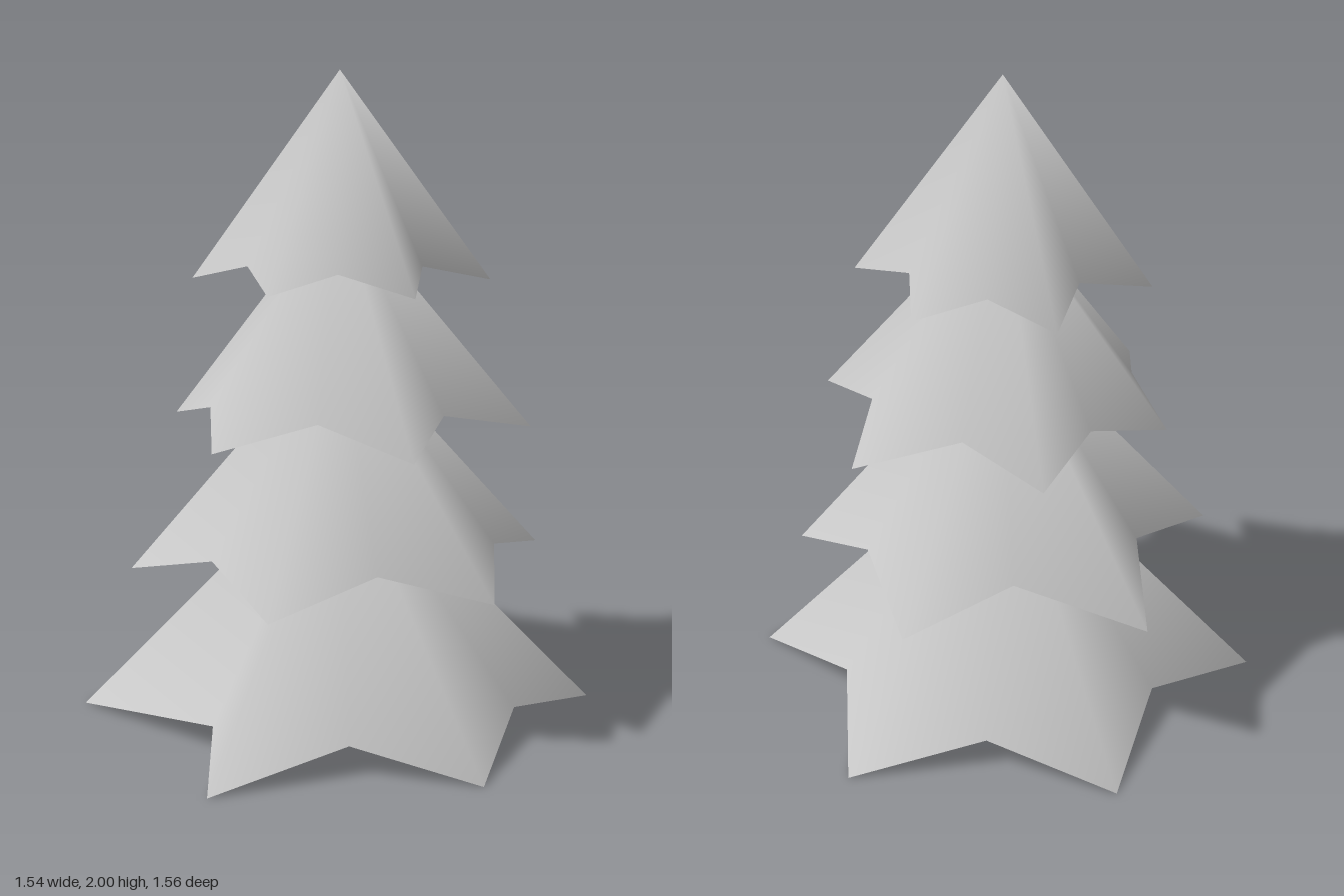
import * as THREE from 'three';

const needles = new THREE.MeshStandardMaterial({ color: 0xc8c8c8, side: THREE.DoubleSide });
needles.name = 'paleGrey';

// Each tier: apex height, tip height, notch height, and a star rim of
// alternating tips and notches as [x, z], clockwise seen from above.
const TIERS = [
  { name: 'bottomBranches', apex: 0.83, tip: 0, notch: 0.09, rim: [
    [0.15, -0.78], [0.39, -0.44], [0.77, -0.25], [0.55, 0.12], [0.61, 0.54], [0.2, 0.59],
    [-0.14, 0.78], [-0.37, 0.46], [-0.77, 0.3], [-0.57, 0.08], [-0.62, -0.51], [-0.19, -0.53]] },
  { name: 'lowerBranches', apex: 1.22, tip: 0.49, notch: 0.57, rim: [
    [0, -0.715], [0.25, -0.385], [0.61, -0.33], [0.5, 0.04], [0.565, 0.345], [0.25, 0.45],
    [0, 0.68], [-0.24, 0.44], [-0.59, 0.36], [-0.5, 0], [-0.57, -0.31], [-0.22, -0.39]] },
  { name: 'upperBranches', apex: 1.62, tip: 0.93, notch: 1.0, rim: [
    [0.22, -0.49], [0.31, -0.21], [0.595, 0.05 - 0.1], [0.38, 0.18], [0.36, 0.49], [0.05, 0.42],
    [-0.225, 0.57], [-0.3, 0.25], [-0.57, 0.095], [-0.385, -0.14], [-0.315, -0.4], [-0.04, -0.375]] },
  { name: 'topBranches', apex: 2, tip: 1.37, notch: 1.43, rim: [
    [0.11, -0.4], [0.21, -0.2], [0.4, -0.09], [0.29, 0.09], [0.33, 0.34], [0.08, 0.295],
    [-0.1, 0.445], [-0.215, 0.245], [-0.385, 0.13], [-0.3, -0.06], [-0.32, -0.3], [-0.075, -0.26]] },
];

// Open star-shaped cone with smooth normals
function starCone({ apex, tip, notch, rim }) {
  const positions = [0, apex, 0.02];
  const index = [];
  rim.forEach(([x, z], i) => {
    positions.push(x, i % 2 ? notch : tip, z);
    index.push(0, 1 + (i + 1) % rim.length, 1 + i);
  });
  const geometry = new THREE.BufferGeometry();
  geometry.setAttribute('position', new THREE.Float32BufferAttribute(positions, 3));
  geometry.setIndex(index);
  geometry.computeVertexNormals();
  return geometry;
}

export function createModel() {
  const tree = new THREE.Group();
  tree.name = 'firTree';
  for (const tier of TIERS) {
    const mesh = new THREE.Mesh(starCone(tier), needles);
    mesh.name = tier.name;
    tree.add(mesh);
  }
  return tree;
}
